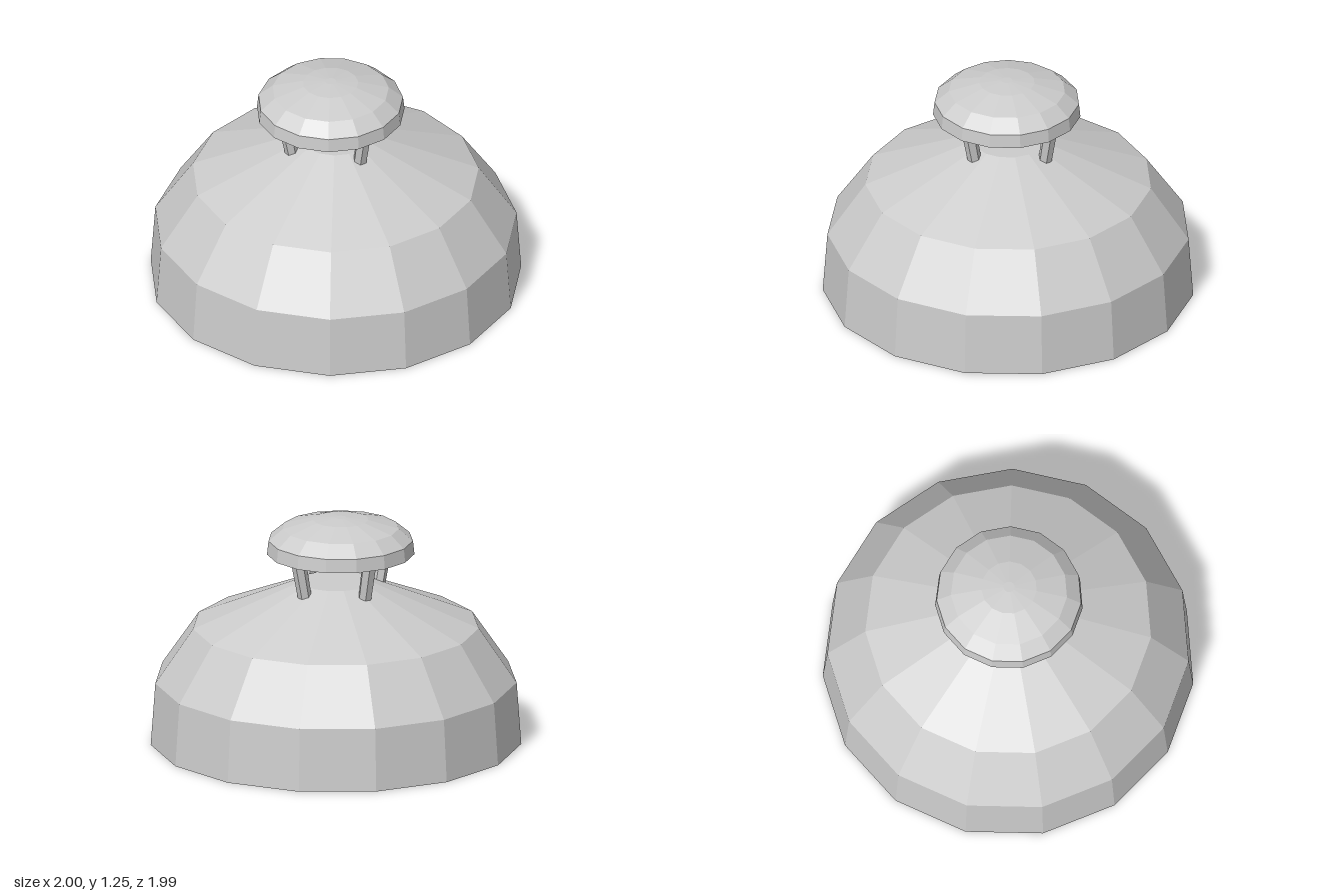
import * as THREE from 'three';

const SIDES = 15;
const material = new THREE.MeshStandardMaterial({ color: 0xcccccc, flatShading: true });

// Closed faceted solid of revolution with a corner at the back
function faceted(name, profile) {
  const points = profile.map(([r, y]) => new THREE.Vector2(r, y));
  const mesh = new THREE.Mesh(new THREE.LatheGeometry(points, SIDES, Math.PI), material);
  mesh.name = name;
  return mesh;
}

export function createModel() {
  const model = new THREE.Group();
  model.name = 'ventedDome';

  // Main dome with flat base and flat top
  const dome = faceted('dome', [
    [0, 0], [1.005, 0], [0.98, 0.345], [0.775, 0.645], [0.195, 0.89], [0, 0.89],
  ]);
  dome.position.z = 0.01;
  model.add(dome);

  // Raised cap, slightly off centre
  const cap = faceted('cap', [
    [0, 1.05], [0.4, 1.05], [0.392, 1.125], [0.315, 1.19], [0.15, 1.235], [0.03, 1.246], [0, 1.246],
  ]);
  cap.position.x = -0.025;
  model.add(cap);

  // Four struts leaning outward between the dome and the cap
  const strutGeometry = new THREE.CylinderGeometry(0.041, 0.037, 0.26, 6)
    .rotateY(Math.PI / 6)
    .rotateX(0.2)
    .translate(0, 0.95, 0.268);
  const struts = new THREE.Group();
  struts.name = 'struts';
  ['frontStrut', 'leftStrut', 'backStrut', 'rightStrut'].forEach((name, i) => {
    const strut = new THREE.Mesh(strutGeometry, material);
    strut.name = name;
    strut.rotation.y = i * Math.PI / 2;
    if (i % 2) strut.position.z = -0.04;
    strut.position.x = -0.003;
    struts.add(strut);
  });
  model.add(struts);

  return model;
}
